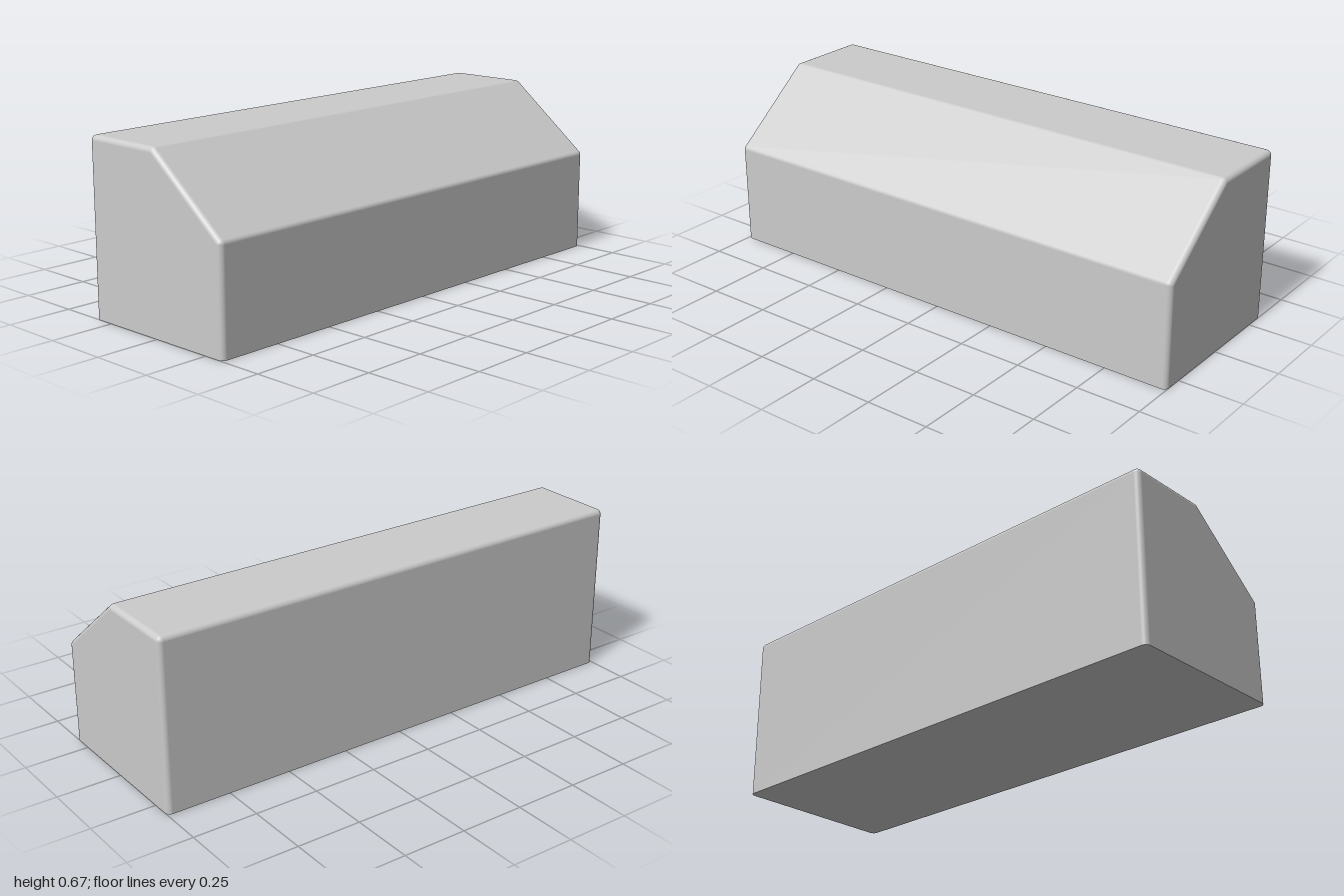
import * as THREE from 'three';

const R = 0.02;        // edge rounding
const STEPS = 6;       // segments per rounded edge
const HALF = 1;        // half length along z
const W = 1 / 3;       // half width

// Half cross-section as inset core points with outward normals, counter-clockwise
function roundedProfile() {
  const n = [[1, 0], [0.8, 1], [0, 1], [-1, 0]].map(([x, y]) => new THREE.Vector2(x, y).normalize());
  const corners = [[W, 0.4], [0, 2 / 3], [-W, 2 / 3]];
  const out = [{ core: new THREE.Vector2(W - R, 0), normal: n[0] }];
  corners.forEach(([x, y], k) => {
    const a = n[k], b = n[k + 1];
    const core = new THREE.Vector2(x, y).addScaledVector(a.clone().add(b), -R / (1 + a.dot(b)));
    const a0 = a.angle(), a1 = b.angle();
    for (let s = 0; s <= STEPS; s++) {
      const t = a0 + (a1 - a0) * s / STEPS;
      out.push({ core, normal: new THREE.Vector2(Math.cos(t), Math.sin(t)) });
    }
  });
  out.push({ core: new THREE.Vector2(-W + R, 0), normal: n[3] });
  return out;
}

function bodyGeometry() {
  const profile = roundedProfile(), count = profile.length;
  const positions = [], normals = [], index = [];

  // Rings: rounded back edge, then rounded front edge
  const rings = [];
  for (const side of [-1, 1]) {
    for (let s = 0; s <= STEPS; s++) {
      const t = (side < 0 ? s / STEPS - 1 : s / STEPS) * Math.PI / 2;
      rings.push({ z: side * (HALF - R) + R * Math.sin(t), c: Math.cos(t), s: Math.sin(t) });
    }
  }
  for (const r of rings) {
    for (const { core, normal } of profile) {
      positions.push(core.x + R * r.c * normal.x, core.y + R * r.c * normal.y, r.z);
      normals.push(r.c * normal.x, r.c * normal.y, r.s);
    }
  }

  // Walls, slope and top
  for (let j = 0; j < rings.length - 1; j++) {
    for (let i = 0; i < count - 1; i++) {
      const a = j * count + i, b = a + count;
      index.push(a, a + 1, b, a + 1, b + 1, b);
    }
  }

  // Flat ends
  const last = (rings.length - 1) * count;
  for (let i = 1; i < count - 1; i++) {
    index.push(0, i + 1, i, last, last + i, last + i + 1);
  }

  // Sharp-edged flat underside
  const base = positions.length / 3;
  for (const r of rings) {
    const x = W - R + R * r.c;
    positions.push(-x, 0, r.z, x, 0, r.z);
    normals.push(0, -1, 0, 0, -1, 0);
  }
  for (let j = 0; j < rings.length - 1; j++) {
    const a = base + j * 2;
    index.push(a, a + 1, a + 2, a + 1, a + 3, a + 2);
  }

  const geometry = new THREE.BufferGeometry();
  geometry.setAttribute('position', new THREE.Float32BufferAttribute(positions, 3));
  geometry.setAttribute('normal', new THREE.Float32BufferAttribute(normals, 3));
  geometry.setIndex(index);
  return geometry;
}

export function createModel() {
  const group = new THREE.Group();
  group.name = 'chamferedBlock';
  const body = new THREE.Mesh(bodyGeometry(), new THREE.MeshStandardMaterial({ color: 0xcccccc }));
  body.name = 'body';
  group.add(body);
  return group;
}
